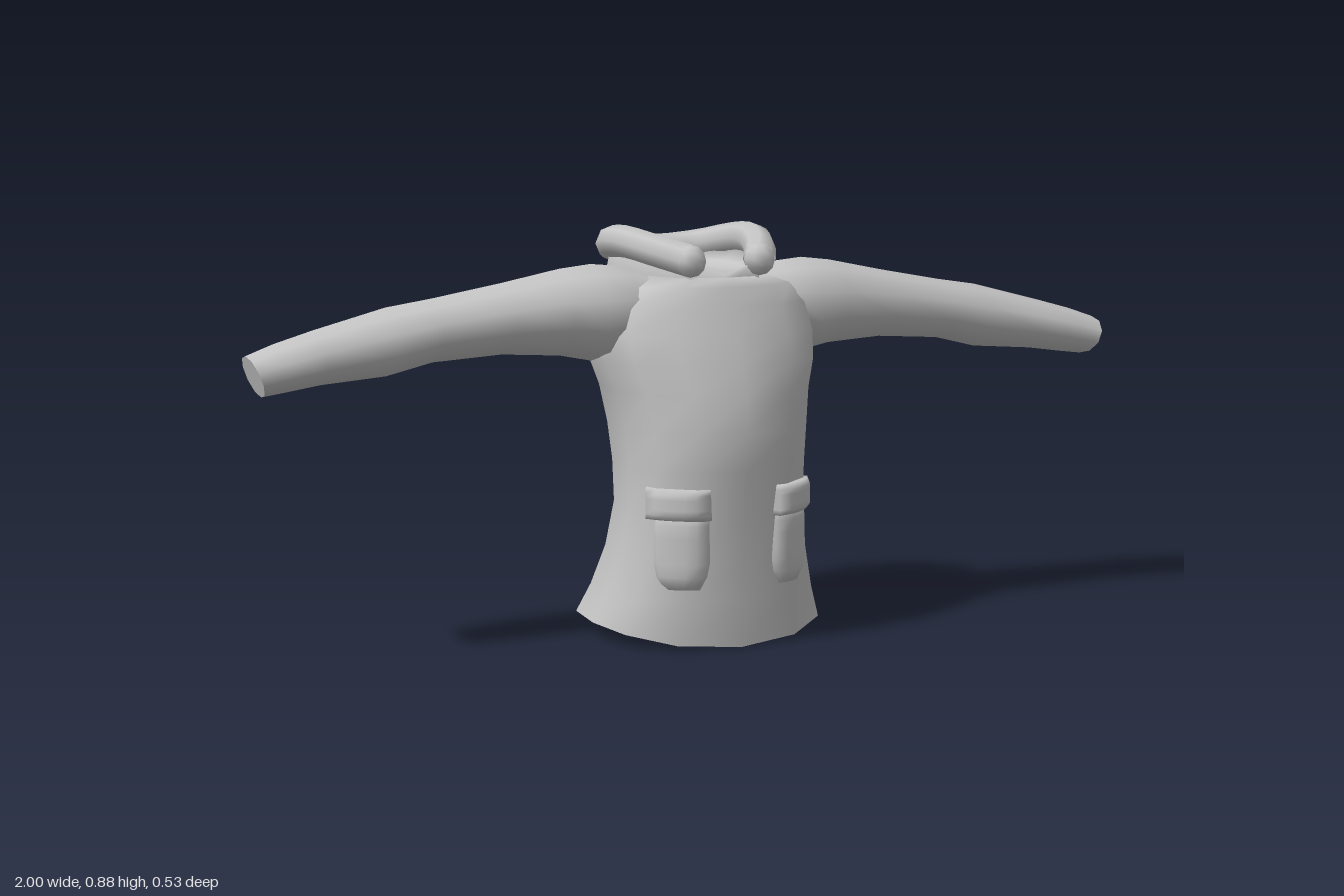
import * as THREE from 'three';
import { mergeVertices } from 'three/addons/utils/BufferGeometryUtils.js';

// Skin a list of equal-length rings of points; caps get their own vertices so edges stay crisp.
function loft(rings, capStart = true, capEnd = true) {
  const n = rings[0].length, pos = [], idx = [];
  rings.forEach(r => r.forEach(p => pos.push(...p)));
  for (let j = 0; j < rings.length - 1; j++) {
    for (let i = 0; i < n; i++) {
      const a = j * n + i, b = j * n + (i + 1) % n;
      idx.push(a, b, b + n, a, b + n, a + n);
    }
  }
  const cap = (ring, flip) => {
    const base = pos.length / 3;
    ring.forEach(p => pos.push(...p));
    pos.push(...[0, 1, 2].map(k => ring.reduce((s, p) => s + p[k], 0) / n));
    for (let i = 0; i < n; i++) {
      const a = base + i, b = base + (i + 1) % n;
      idx.push(base + n, flip ? b : a, flip ? a : b);
    }
  };
  if (capStart) cap(rings[0], true);
  if (capEnd) cap(rings[rings.length - 1], false);
  const g = new THREE.BufferGeometry();
  g.setAttribute('position', new THREE.Float32BufferAttribute(pos, 3));
  g.setIndex(idx);
  g.computeVertexNormals();
  return g;
}

const ring = (n, f) => Array.from({ length: n }, (_, i) => f(i / n * Math.PI * 2));

// Unit outline of the body: round in front, squarer across the back
function outline(a) {
  const s = Math.sin(a), c = Math.cos(a), p = c < -0.01 ? 0.47 : 0.93;
  return [Math.sign(s) * Math.abs(s) ** p, Math.sign(c) * Math.abs(c) ** p];
}

// Soft pad curved round the body, with thin edges; taper narrows its lower end
function pad(w, h, d, taper) {
  const g = new THREE.BoxGeometry(w, h, d, 6, 6, 1);
  const p = g.attributes.position;
  for (let i = 0; i < p.count; i++) {
    const x = p.getX(i), y = p.getY(i), u = 2 * x / w, v = 2 * y / h;
    const edge = Math.max(Math.abs(u), Math.abs(v)) > 0.99 ? 0.008 : 0;
    const narrow = 1 - taper * Math.max(0, -v) ** 3;
    p.setXYZ(i, x * narrow, y, p.getZ(i) - 3.2 * x * x - (p.getZ(i) > 0 ? edge : 0));
  }
  g.deleteAttribute('normal');
  g.deleteAttribute('uv');
  const soft = mergeVertices(g);
  soft.computeVertexNormals();
  return soft;
}

export function createModel() {
  const model = new THREE.Group();
  const cloth = new THREE.MeshStandardMaterial({ color: 0xc4c4c4, side: THREE.DoubleSide });
  cloth.name = 'grey cloth';
  const add = (name, geometry, parent = model) => {
    const mesh = new THREE.Mesh(geometry, cloth);
    mesh.name = name;
    parent.add(mesh);
    return mesh;
  };

  // Torso: height, half width, front z, back z
  const torso = [
    [0.1, 0.236, 0.235, -0.125], [0.19, 0.212, 0.24, -0.09], [0.29, 0.198, 0.248, -0.07],
    [0.38, 0.197, 0.26, -0.085], [0.46, 0.202, 0.268, -0.105], [0.54, 0.216, 0.253, -0.118],
    [0.6, 0.238, 0.234, -0.124], [0.66, 0.245, 0.212, -0.124], [0.72, 0.232, 0.187, -0.115],
    [0.76, 0.195, 0.172, -0.085], [0.78, 0.13, 0.16, -0.06], [0.74, 0.06, 0.08, -0.02]
  ].map(([y, w, f, b]) => ring(12, a => {
    const [u, v] = outline(a);
    return [w * u, y, (f + b) / 2 + (f - b) / 2 * v];
  }));
  // The hem dips at the front and back
  const hem = ring(12, a => {
    const s = Math.sin(a), c = Math.cos(a), [u, v] = outline(a);
    return [0.262 * u, 0.038 * s * s + (c < 0 ? 0.025 * c * c : 0), 0.038 + 0.193 * v];
  });
  add('torso', loft([hem, ...torso]));

  // Sleeves: x, top y, bottom y, front z, back z, slant of the cut
  const sleeve = [
    [0.08, 0.77, 0.67, 0.09, -0.06, 0], [0.18, 0.8, 0.62, 0.122, -0.1, 0],
    [0.25, 0.806, 0.6, 0.122, -0.112, 0], [0.32, 0.798, 0.614, 0.112, -0.106, 0],
    [0.45, 0.772, 0.622, 0.1, -0.1, 0],
    [0.6, 0.745, 0.612, 0.085, -0.095, 0], [0.7, 0.73, 0.588, 0.088, -0.1, 0],
    [0.85, 0.69, 0.578, 0.092, -0.086, 0.008], [0.93, 0.667, 0.568, 0.092, -0.066, 0.012],
    [0.985, 0.647, 0.562, 0.088, -0.045, 0.015]
  ];
  for (const s of [1, -1]) {
    add(s > 0 ? 'leftSleeve' : 'rightSleeve', loft(sleeve.map(([x, t, b, f, k, slant]) =>
      ring(10, a => [
        s * (x + slant * Math.cos(a)),
        (t + b) / 2 + (t - b) / 2 * Math.cos(a),
        (f + k) / 2 + s * (f - k) / 2 * Math.sin(a)
      ]))));
  }

  // Hood edge, open at the front: left half from throat to nape, then mirrored
  const half = [[0.08, 0.816, 0.145], [0.122, 0.834, 0.06], [0.149, 0.848, -0.04],
    [0.144, 0.842, -0.13], [0.098, 0.824, -0.205]];
  const edge = [...half, [0, 0.814, -0.231], ...half.slice().reverse().map(([x, y, z]) => [-x, y, z])];
  const curve = new THREE.CatmullRomCurve3(edge.map(p => new THREE.Vector3(...p)));
  add('hoodRim', new THREE.TubeGeometry(curve, 24, 0.035, 8));
  for (const s of [1, -1]) {
    const end = add('hoodRimEnd', new THREE.SphereGeometry(0.035, 8, 6));
    end.position.set(s * 0.08, 0.816, 0.145);
  }

  // Hood bag: from the neck out around the sagging back, up to the rim, and into the bowl
  const loop = [[0, 0.785, 0.155], ...edge];
  const hoodRing = (scale, yBack, yFront, inner) => loop.map(([x, y, z]) => {
    const k = THREE.MathUtils.clamp(-z / 0.18, 0, 1);
    const s = inner ? scale : 1 + (scale - 1) * k;
    return [x * s, yFront + (yBack - yFront) * k, -0.04 + (z + 0.04) * s];
  });
  add('hood', loft([
    hoodRing(0.45, 0.68, 0.72), hoodRing(0.7, 0.648, 0.74), hoodRing(1, 0.665, 0.75),
    hoodRing(1.17, 0.73, 0.765), loop,
    hoodRing(0.8, 0.795, 0.792, true), hoodRing(0.4, 0.782, 0.785, true)
  ], false, true));

  // Pockets: tapered pouch under an overhanging flap, wrapped round the hips
  for (const s of [1, -1]) {
    const pocket = new THREE.Group();
    pocket.name = s > 0 ? 'leftPocket' : 'rightPocket';
    pocket.position.set(s * 0.131, 0, 0.196);
    pocket.rotation.y = s * 0.68;
    add('pocketPouch', pad(0.13, 0.165, 0.04, 0.3), pocket).position.y = 0.212;
    add('pocketFlap', pad(0.14, 0.066, 0.064, 0), pocket).position.y = 0.312;
    model.add(pocket);
  }
  return model;
}
